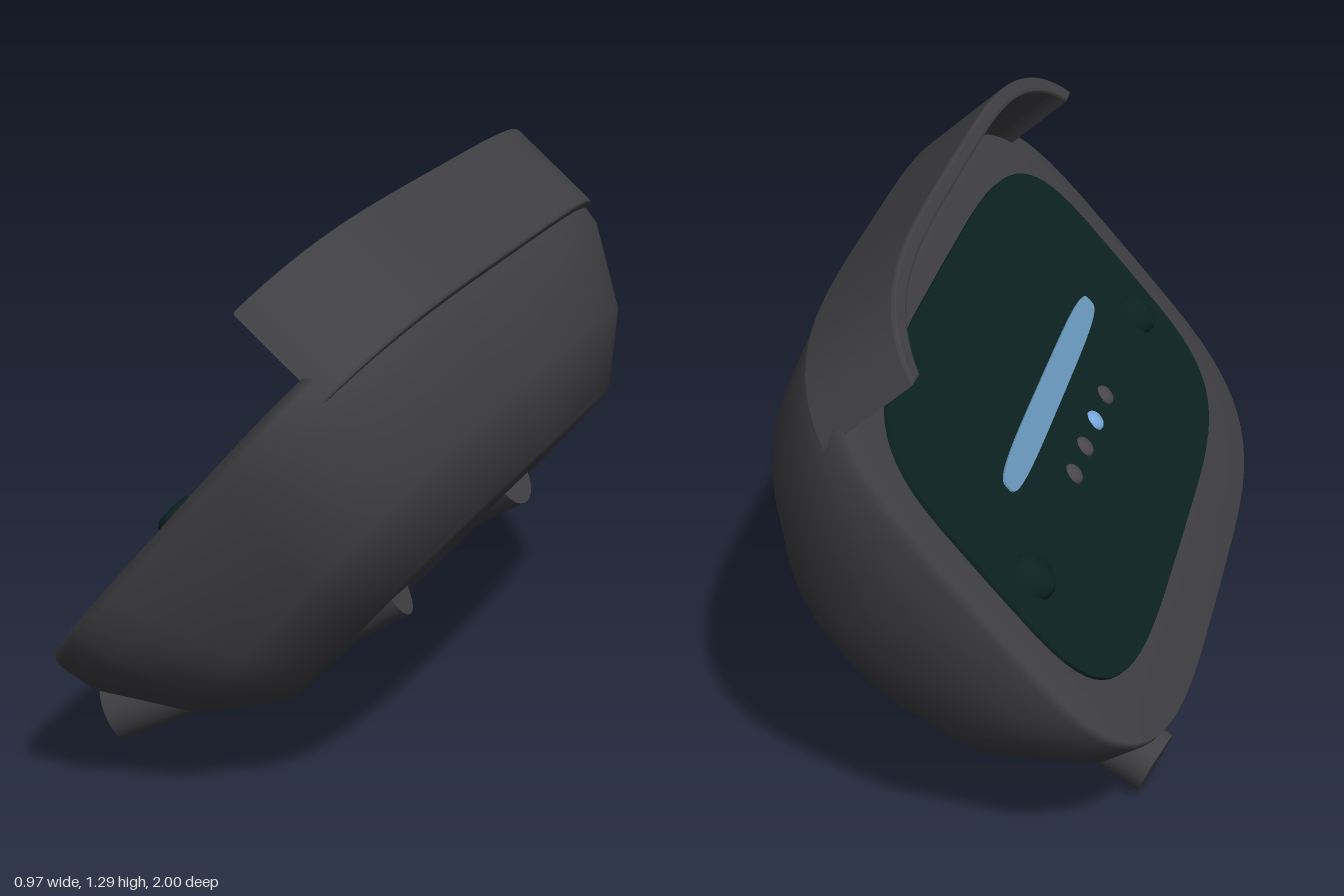
import * as THREE from 'three';

const material = (name, color, side = THREE.FrontSide) => {
  const m = new THREE.MeshStandardMaterial({ color, side });
  m.name = name;
  return m;
};

// point on a superellipse with half sizes w, h and exponent e
const superPoint = (a, w, h, e) => {
  const c = Math.cos(a), s = Math.sin(a);
  return new THREE.Vector2(
    w * Math.sign(c) * Math.abs(c) ** (2 / e),
    h * Math.sign(s) * Math.abs(s) ** (2 / e));
};

const superShape = (w, h, e, count = 64) => new THREE.Shape(
  Array.from({ length: count }, (_, i) => superPoint(i / count * Math.PI * 2, w, h, e)));

// closed shell through superellipse rings [z, halfHeight, halfWidth, exponent]
function loft(rings, count = 64) {
  const pos = [], index = [];
  rings.forEach(([z, h, w, e], i) => {
    for (let j = 0; j < count; j++) {
      const p = superPoint(j / count * Math.PI * 2, w, h, e);
      pos.push(p.x, p.y, z);
      if (i === rings.length - 1) continue;
      const a = i * count + j, b = i * count + (j + 1) % count;
      index.push(a, b, b + count, a, b + count, a + count);
    }
  });
  const g = new THREE.BufferGeometry();
  g.setAttribute('position', new THREE.Float32BufferAttribute(pos, 3));
  g.setIndex(index);
  g.computeVertexNormals();
  return g;
}

// visor cross-section: the upper arc between two superellipses, cut at height yEnd
function visorShape(yEnd) {
  const arc = (w, h) => {
    const pts = [], n = 40, e = 4;
    const start = Math.asin((yEnd / h) ** (e / 2));
    for (let i = 0; i <= n; i++) {
      pts.push(superPoint(start + (Math.PI - 2 * start) * i / n, w, h, e));
    }
    return pts;
  };
  return new THREE.Shape([...arc(0.977, 0.622), ...arc(0.95, 0.598).reverse()]);
}

export function createModel() {
  const shell = material('charcoal shell', 0x403f43);
  const glass = material('dark teal panel', 0x0c2321);
  const light = material('blue light strip', 0x6a98bc);
  const lit = material('bright blue indicator', 0x78aae0);
  const dim = material('grey indicator', 0x4a484a);

  const model = new THREE.Group();
  model.name = 'device';

  const add = (parent, name, geometry, mat, x = 0, y = 0, z = 0) => {
    const mesh = new THREE.Mesh(geometry, mat);
    mesh.name = name;
    mesh.position.set(x, y, z);
    parent.add(mesh);
    return mesh;
  };

  // tilted head: local x runs along the width, y up the face, z out of the face
  const head = new THREE.Group();
  head.name = 'head';
  const up = new THREE.Vector3(0.653, 0.757, 0).normalize();
  const out = new THREE.Vector3(-up.y, up.x, 0);
  head.quaternion.setFromRotationMatrix(
    new THREE.Matrix4().makeBasis(new THREE.Vector3(0, 0, 1), up, out));
  head.position.copy(up).multiplyScalar(0.463);
  model.add(head);

  // housing, from the back to the front rim
  add(head, 'housing', loft([
    [0.08, 0, 0, 2.7],
    [0.08, 0.2, 0.42, 2.7],
    [0.08, 0.376, 0.78, 2.7],
    [0.21, 0.518, 0.925, 3],
    [0.405, 0.6, 0.992, 3.8],
    [0.498, 0.608, 1, 4],
    [0.519, 0.604, 0.997, 4],
    [0.521, 0.43, 0.86, 4],
    [0.521, 0, 0, 4],
  ]), shell);

  // front panel
  add(head, 'frontPanel', new THREE.ExtrudeGeometry(superShape(0.88, 0.445, 4.3),
    { depth: 0.009, bevelEnabled: false }), glass, 0, 0, 0.521);

  // visor over the upper edge
  add(head, 'visor', new THREE.ExtrudeGeometry(visorShape(0.45), {
    depth: 0.251, bevelThickness: 0.008, bevelSize: 0.008, bevelSegments: 2,
  }), shell, 0, 0, 0.458);

  // light strip
  add(head, 'lightStrip', new THREE.ExtrudeGeometry(superShape(0.53, 0.036, 4),
    { depth: 0.006, bevelEnabled: false }), light, 0, 0.05, 0.529);

  // low domes: two side buttons and a row of indicators
  const dome = (r, h) => new THREE.LatheGeometry([
    new THREE.Vector2(r, 0), new THREE.Vector2(r * 0.93, h * 0.5),
    new THREE.Vector2(r * 0.72, h * 0.9), new THREE.Vector2(0, h),
  ], 20).rotateX(Math.PI / 2);
  for (const s of [-1, 1]) {
    add(head, s > 0 ? 'leftButton' : 'rightButton', dome(0.058, 0.033), glass, s * 0.72, -0.096, 0.529);
  }
  for (let i = 0; i < 4; i++) {
    add(head, 'indicator' + (i + 1), dome(0.027, 0.014), i === 2 ? lit : dim,
      -0.22 + i * 0.145, -0.096, 0.529);
  }

  // pegs: each strut bends inside the housing and pokes out below and behind
  const rod = (name, a, b) => {
    const dir = b.clone().sub(a);
    const mesh = add(model, name, new THREE.CylinderGeometry(0.075, 0.075, dir.length(), 24), shell);
    mesh.position.copy(a).addScaledVector(dir, 0.5);
    mesh.quaternion.setFromUnitVectors(new THREE.Vector3(0, 1, 0), dir.normalize());
  };
  for (const s of [-1, 1]) {
    const foot = new THREE.Vector3(-0.416, 0.074, s * 0.555);
    const bend = new THREE.Vector3(-0.07, 0.235, s * 0.48);
    const tip = new THREE.Vector3(0.233, 0.423, s * 0.43);
    rod('footPeg', foot, bend);
    rod('backPeg', bend, tip);
  }

  return model;
}
